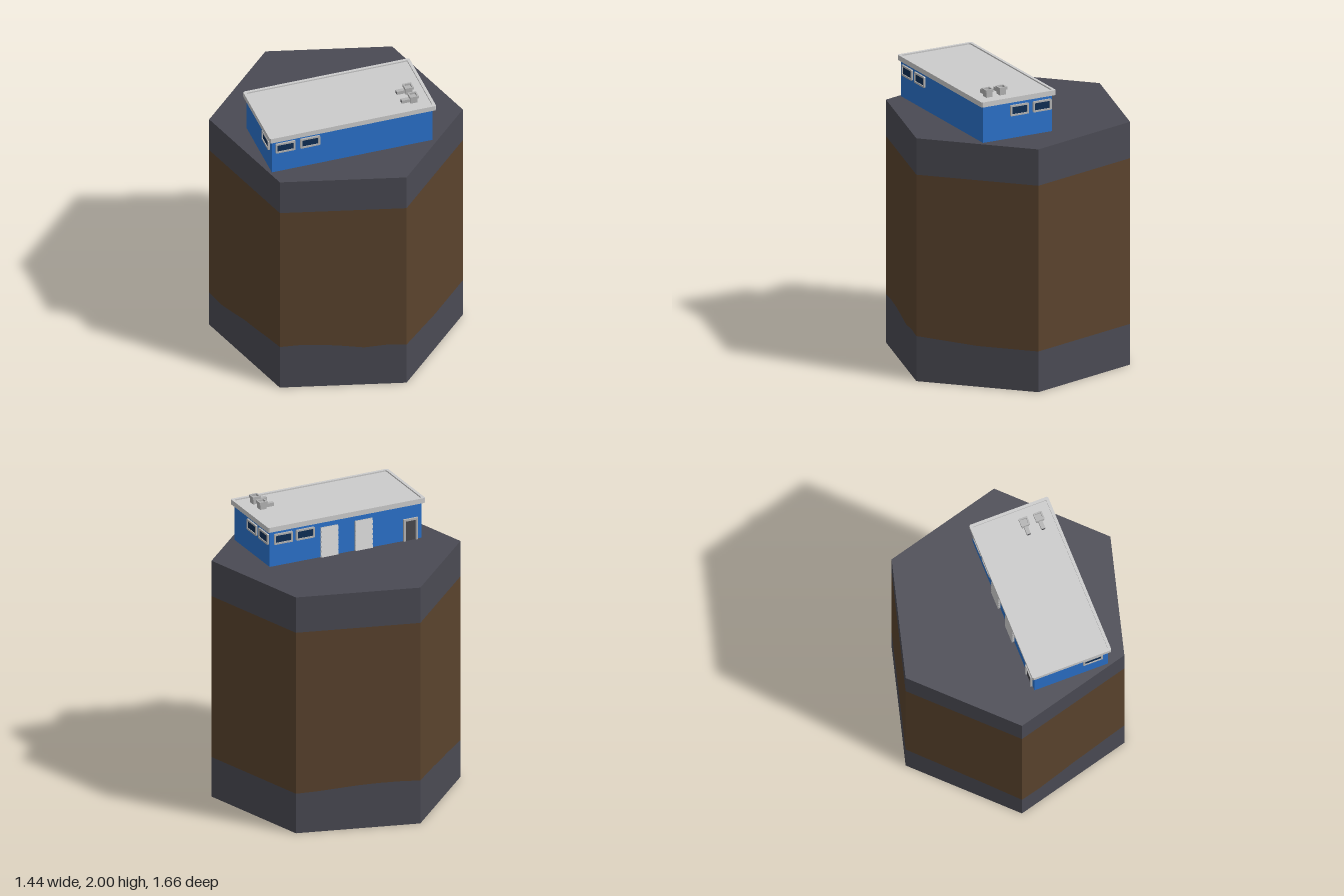
import * as THREE from 'three';

const mat = (name, color, side = THREE.FrontSide) => {
  const m = new THREE.MeshStandardMaterial({ color, side });
  m.name = name;
  return m;
};

export function createModel() {
  const rock = mat('slate rock', 0x4a4a53, THREE.DoubleSide);
  const soil = mat('brown soil', 0x5a432d, THREE.DoubleSide);
  const blue = mat('blue wall', 0x2a71ca);
  const pale = mat('pale grey', 0xcbcbcb);
  const trim = mat('trim grey', 0xb4b4b4);
  const glass = mat('navy glass', 0x0d2d54);
  const dark = mat('dark grey', 0x48484d);

  const model = new THREE.Group();
  model.name = 'buildingOnColumn';
  const add = (parent, name, geo, material, x = 0, y = 0, z = 0) => {
    const m = new THREE.Mesh(geo, material);
    m.name = name;
    m.position.set(x, y, z);
    parent.add(m);
    return m;
  };
  const box = (w, h, d) => new THREE.BoxGeometry(w, h, d);

  // Hexagonal column, open underneath, with a wavy lower soil line
  const R = 0.83, TOP = 1.67, STEPS = 6;
  const wave = [
    0.26, 0.25, 0.27, 0.295, 0.305, 0.32,
    0.33, 0.34, 0.335, 0.32, 0.30, 0.315,
    0.31, 0.30, 0.29, 0.28, 0.28, 0.28,
    0.28, 0.28, 0.28, 0.28, 0.28, 0.28,
    0.28, 0.285, 0.295, 0.305, 0.31, 0.31,
    0.305, 0.30, 0.295, 0.285, 0.28, 0.27,
  ];
  const corner = (i) => {
    const a = -Math.PI / 3 + (i * Math.PI) / 3;
    return new THREE.Vector2(R * Math.sin(a), R * Math.cos(a));
  };
  const rim = (k) => corner(Math.floor(k / STEPS)).lerp(corner(Math.floor(k / STEPS) + 1), (k % STEPS) / STEPS);
  const band = (name, low, high, material) => {
    const p = [], n = wave.length;
    for (let k = 0; k < n; k++) {
      const j = (k + 1) % n, a = rim(k), b = rim(j);
      const A = [a.x, low(k), a.y], B = [b.x, low(j), b.y];
      const C = [b.x, high(j), b.y], D = [a.x, high(k), a.y];
      p.push(...A, ...B, ...C, ...A, ...C, ...D);
    }
    const g = new THREE.BufferGeometry();
    g.setAttribute('position', new THREE.Float32BufferAttribute(p, 3));
    g.computeVertexNormals();
    add(model, name, g, material);
  };
  band('lowerRockBand', () => 0, (k) => wave[k], rock);
  band('soilBand', (k) => wave[k], () => 1.42, soil);
  band('upperRockBand', () => 1.42, () => TOP, rock);
  add(model, 'columnTop', new THREE.CircleGeometry(R, 6, Math.PI / 2).rotateX(-Math.PI / 2), rock, 0, TOP, 0);

  // Building, turned 45 degrees on the column
  const L = 1.11, W = 0.515, H = 0.255;
  const house = new THREE.Group();
  house.name = 'building';
  house.position.set(0.115, TOP, 0.18);
  house.rotation.y = Math.PI / 4;
  model.add(house);
  add(house, 'walls', box(L, H, W), blue, 0, H / 2, 0);

  // Rectangle outline with clipped corners
  const outline = (path, w, h, c = 0) => {
    const x = w / 2, y = h / 2;
    path.setFromPoints([
      [-x + c, -y], [x - c, -y], [x, -y + c], [x, y - c],
      [x - c, y], [-x + c, y], [-x, y - c], [-x, -y + c],
    ].map(([a, b]) => new THREE.Vector2(a, b)));
    return path;
  };
  const ring = (w, h, t, depth, c = 0) => {
    const s = outline(new THREE.Shape(), w, h, c);
    s.holes.push(outline(new THREE.Path(), w - 2 * t, h - 2 * t, c * 0.5));
    return new THREE.ExtrudeGeometry(s, { depth, bevelEnabled: false });
  };

  // Flat roof with a raised rim
  add(house, 'roofRim', ring(1.147, 0.553, 0.02, 0.035, 0.008).rotateX(-Math.PI / 2), pale, 0, 0.25, 0);
  add(house, 'roofDeck', box(1.108, 0.025, 0.514), pale, 0, 0.2635, 0);

  // Wall fittings: each faces out from its wall
  const walls = {
    front: (s) => [s, W / 2, 0],
    back: (s) => [s, -W / 2, Math.PI],
    right: (s) => [-L / 2, s, -Math.PI / 2],
    left: (s) => [L / 2, s, Math.PI / 2],
  };
  const fitting = (name, wall, s, y) => {
    const g = new THREE.Group(), [x, z, turn] = walls[wall](s);
    g.name = name;
    g.position.set(x, y, z);
    g.rotation.y = turn;
    house.add(g);
    return g;
  };

  for (const [wall, s] of [
    ['front', -0.463], ['front', -0.293], ['back', 0.457], ['back', 0.297],
    ['right', 0.15], ['left', -0.011], ['left', -0.18],
  ]) {
    const g = fitting('window', wall, s, 0.19);
    add(g, 'windowFrame', ring(0.136, 0.074, 0.012, 0.012, 0.004), trim);
    add(g, 'windowPane', box(0.114, 0.052, 0.006), glass, 0, 0, 0.003);
  }

  // Roller doors with sloping slats
  for (const s of [0.122, -0.129]) {
    const g = fitting('rollerDoor', 'back', s, 0);
    const n = 6, h = 0.21 / n;
    add(g, 'doorBacking', box(0.126, 0.21, 0.006), trim, 0, 0.105, 0.003);
    for (let i = 0; i < n; i++) {
      add(g, 'slat', box(0.126, h * 0.95, 0.008), pale, 0, h * (i + 0.5), 0.009).rotation.x = -0.25;
    }
  }

  // Entry door
  const entry = fitting('entryDoor', 'back', -0.471, 0);
  for (const x of [-0.045, 0.045]) add(entry, 'doorPost', box(0.014, 0.15, 0.014), trim, x, 0.075, 0.007);
  add(entry, 'doorLintel', box(0.104, 0.014, 0.014), trim, 0, 0.147, 0.007);
  add(entry, 'doorPanel', box(0.078, 0.14, 0.006), dark, 0, 0.07, 0.003);

  // Roof ventilators: hooded box with an open top and a side duct
  for (const z of [0.064, 0.166]) {
    const g = new THREE.Group();
    g.name = 'roofVent';
    g.position.set(0.451, 0.276, z);
    house.add(g);
    add(g, 'ventBody', box(0.046, 0.04, 0.046), trim, 0, 0.02, 0);
    add(g, 'ventRim', ring(0.06, 0.06, 0.01, 0.018, 0.003).rotateX(-Math.PI / 2), trim, 0, 0.036, 0);
    add(g, 'duct', box(0.06, 0.024, 0.026), trim, -0.052, 0.018, 0);
    add(g, 'ductMouth', box(0.004, 0.016, 0.018), dark, -0.082, 0.018, 0);
  }

  return model;
}
